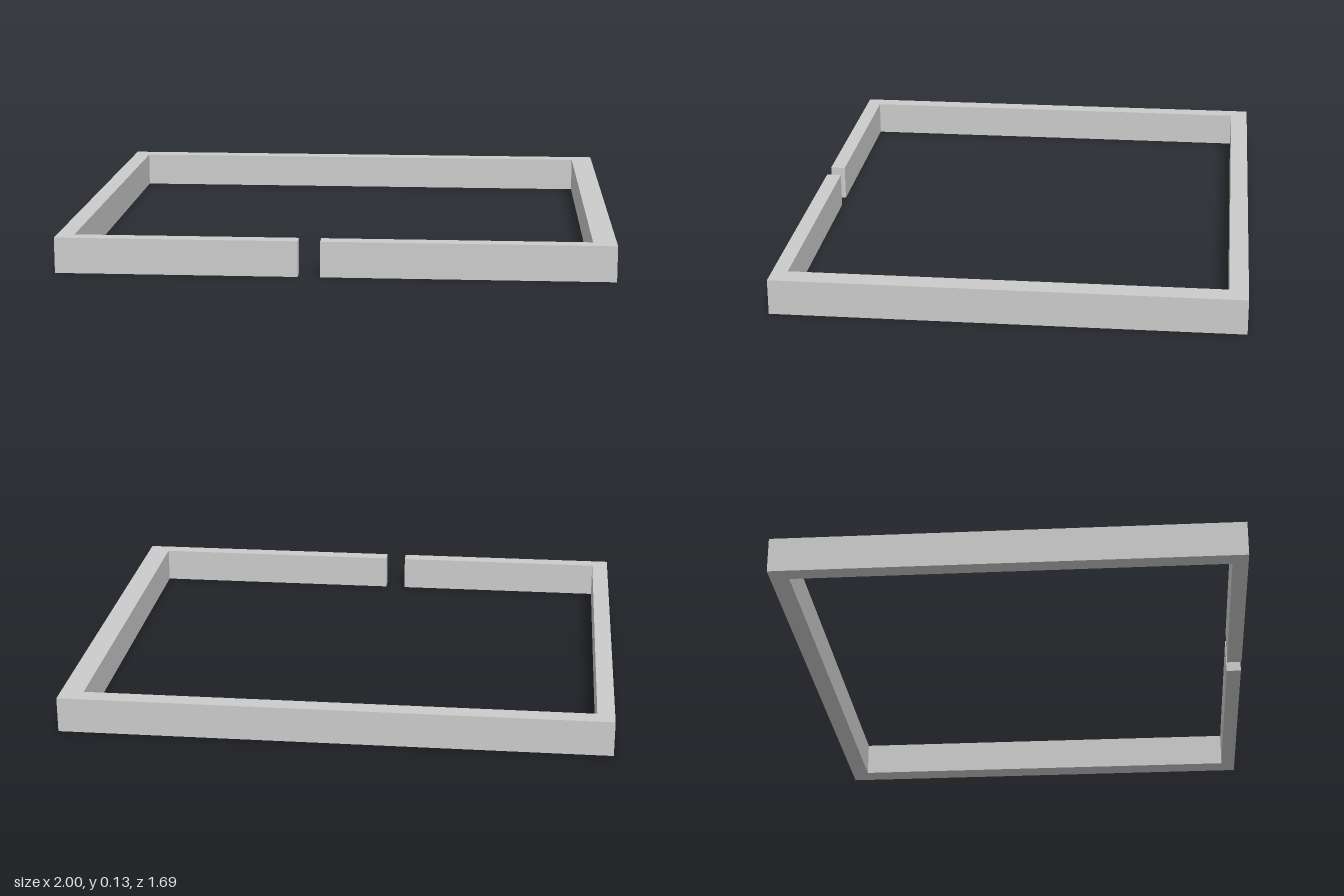
import * as THREE from 'three';

const HEIGHT = 0.13;

export function createModel() {
  const group = new THREE.Group();
  const material = new THREE.MeshStandardMaterial({ color: 0xcccccc, flatShading: true });

  // Plan of the walls as [x, z]: one open ring with a narrow gap at the front
  const plan = [
    [-0.127, 0.843], [-1, 0.843], [-1, -0.843], [1, -0.843], [1, 0.843], [-0.047, 0.843],
    [-0.047, 0.787], [0.916, 0.787], [0.916, -0.775], [-0.937, -0.775], [-0.937, 0.787], [-0.127, 0.787],
  ];
  const shape = new THREE.Shape(plan.map(([x, z]) => new THREE.Vector2(x, z)));

  // Raise the plan to wall height and lay it flat on the ground
  const geometry = new THREE.ExtrudeGeometry(shape, { depth: HEIGHT, bevelEnabled: false });
  geometry.rotateX(Math.PI / 2).translate(0, HEIGHT, 0);

  const walls = new THREE.Mesh(geometry, material);
  walls.name = 'perimeterWall';
  group.add(walls);
  return group;
}
